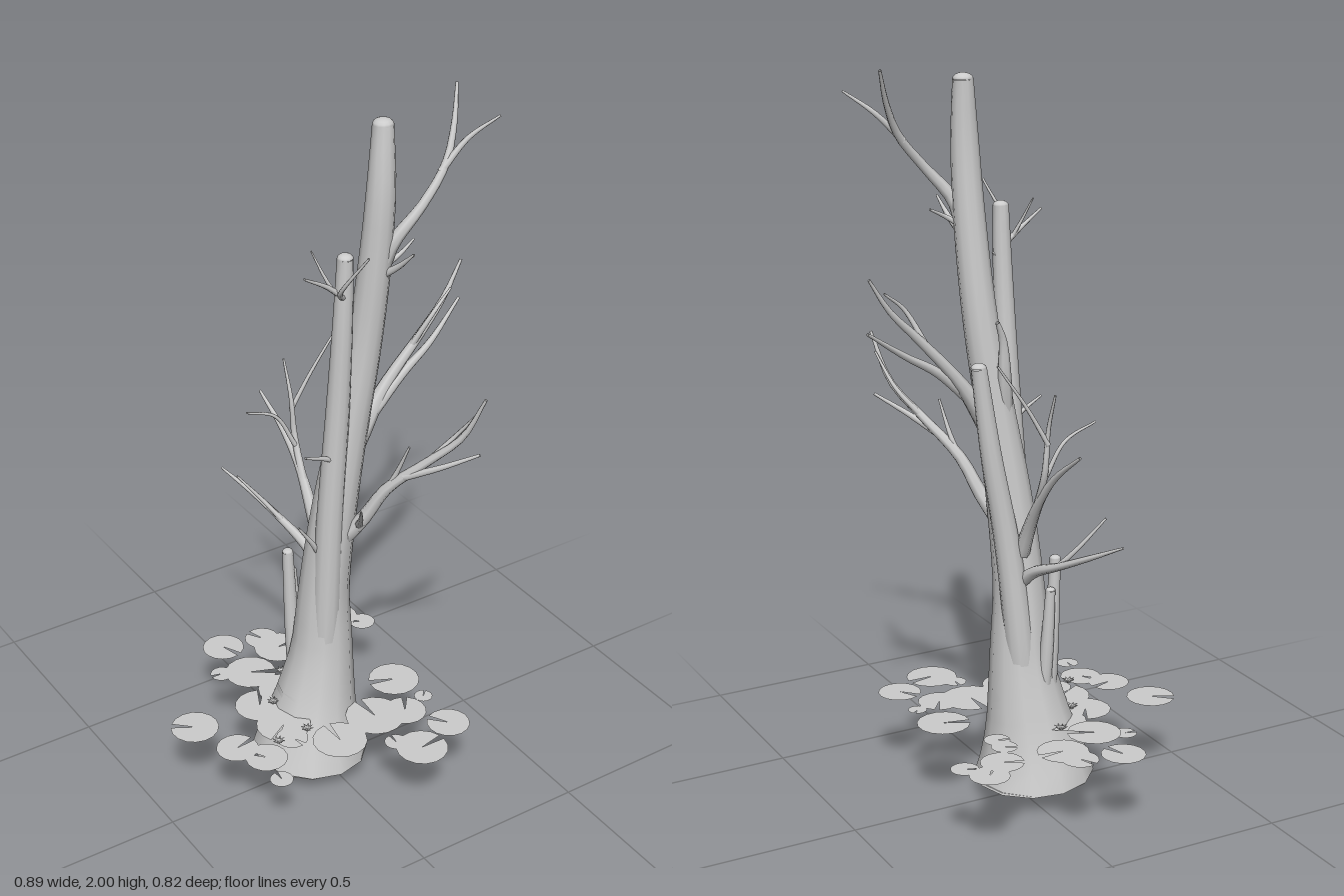
import * as THREE from 'three';
import { mergeVertices, mergeGeometries } from 'three/addons/utils/BufferGeometryUtils.js';

const grey = new THREE.MeshStandardMaterial({ color: 0xcccccc, side: THREE.DoubleSide });
grey.name = 'pale grey';

// Tapered limb through [x, y, z, radius] stations
function limb(stations, sides = 7, segments = 16) {
  const curve = new THREE.CatmullRomCurve3(stations.map(([x, y, z]) => new THREE.Vector3(x, y, z)));
  let geo = new THREE.TubeGeometry(curve, segments, 1, sides);
  const pos = geo.attributes.position, v = new THREE.Vector3();
  for (let i = 0; i <= segments; i++) {
    const u = i / segments, centre = curve.getPointAt(u);
    const t = curve.getUtoTmapping(u) * (stations.length - 1);
    const k = Math.min(Math.floor(t), stations.length - 2);
    const r = THREE.MathUtils.lerp(stations[k][3], stations[k + 1][3], t - k);
    for (let j = 0; j <= sides; j++) {
      const n = i * (sides + 1) + j;
      v.fromBufferAttribute(pos, n).sub(centre).multiplyScalar(r).add(centre);
      pos.setXYZ(n, v.x, v.y, v.z);
    }
  }
  geo.deleteAttribute('uv');
  geo.deleteAttribute('normal');
  geo = mergeVertices(geo);
  geo.computeVertexNormals();
  return geo;
}

export function createModel() {
  const model = new THREE.Group();
  const add = (name, geo, x = 0, y = 0, z = 0) => {
    const mesh = new THREE.Mesh(geo, grey);
    mesh.name = name;
    mesh.position.set(x, y, z);
    model.add(mesh);
    return mesh;
  };

  // Stems: flared main trunk, two companions and two broken stubs
  const stems = {
    mainTrunk: [[-.035, .06, -.02, .165], [-.032, .12, -.02, .147], [-.018, .23, -.018, .116], [0, .4, -.01, .086],
      [.003, .6, -.003, .07], [.022, .85, .015, .062], [.055, 1.1, .032, .052], [.088, 1.35, .052, .046],
      [.104, 1.6, .075, .042], [.11, 1.8, .088, .037], [.116, 1.96, .083, .027]],
    slimTrunk: [[-.02, .12, .01, .04], [-.015, .5, .03, .04], [-.01, .85, .045, .036], [.003, 1.2, .062, .031],
      [.008, 1.45, .075, .026], [.011, 1.63, .08, .021]],
    rearTrunk: [[0, .12, -.05, .04], [.025, .45, -.05, .04], [.06, .75, -.042, .034], [.105, 1, -.04, .028], [.14, 1.24, -.04, .021]],
    tallStub: [[-.05, .2, -.06, .024], [-.057, .45, -.075, .02], [-.065, .7, -.08, .015]],
    shortStub: [[-.025, .2, -.07, .022], [-.035, .45, -.09, .018], [-.04, .62, -.1, .013]],
  };
  for (const [name, s] of Object.entries(stems)) {
    add(name, limb(s, 12, 30));
    const [x, y, z, r] = s.at(-1);
    add(name + 'Tip', new THREE.SphereGeometry(r, 12, 4, 0, Math.PI * 2, 0, Math.PI / 2), x, y, z).scale.y = .6;
  }

  // Hollow underside and central peg
  add('hollowBase', new THREE.LatheGeometry([[.163, .06], [.138, .062], [.115, .16], [.09, .28]]
    .map(([r, y]) => new THREE.Vector2(r, y)), 12), -.033, 0, -.02);
  add('basePeg', new THREE.CylinderGeometry(.028, .028, .3, 12), -.03, .15, -.03);

  // Branches and their forks
  const branches = {
    upperBranch: [
      [[.115, 1.58, .085, .024], [.135, 1.65, .105, .019], [.21, 1.74, .122, .013], [.285, 1.825, .11, .011], [.33, 1.91, .08, .008], [.365, 2, .04, .004]],
      [[.27, 1.81, .112, .01], [.345, 1.885, .12, .007], [.415, 1.94, .155, .003]],
    ],
    sideBranch: [
      [[.055, 1.02, .03, .034], [.1, 1.1, .035, .028], [.17, 1.2, .03, .017], [.28, 1.32, .03, .012], [.36, 1.4, .02, .008], [.42, 1.49, .01, .004]],
      [[.13, 1.14, .04, .017], [.22, 1.22, .035, .013], [.32, 1.28, .02, .009], [.44, 1.36, -.02, .004]],
      [[.035, 1.03, .02, .025], [.05, 1.2, -.01, .019], [.06, 1.3, -.02, .011], [.08, 1.35, -.03, .006]],
      [[.25, 1.29, .03, .009], [.3, 1.39, .06, .006], [.36, 1.44, .05, .003]],
    ],
    frontBranch: [
      [[.04, .79, .05, .024], [.07, .85, .085, .02], [.11, .95, .13, .016], [.18, 1.05, .21, .012], [.24, 1.14, .28, .009], [.27, 1.27, .335, .004]],
      [[.14, 1, .17, .011], [.2, 1.05, .25, .008], [.27, 1.1, .32, .004]],
      [[.18, 1.05, .21, .009], [.24, 1.13, .25, .006], [.27, 1.22, .31, .003]],
      [[.06, .83, .08, .012], [.025, .89, .14, .007], [-.015, .96, .2, .003]],
      [[.1, .92, .12, .01], [.125, 1, .15, .007], [.14, 1.1, .19, .003]],
    ],
    rearBranch: [
      [[.02, .72, -.05, .022], [.02, .8, -.09, .018], [.025, .9, -.16, .012], [.02, .98, -.23, .009], [.01, 1.06, -.335, .004]],
      [[.022, .86, -.13, .012], [.03, .98, -.19, .009], [.025, 1.1, -.2, .006], [.025, 1.2, -.235, .003]],
      [[.025, 1.06, -.2, .007], [.08, 1.16, -.19, .005], [.16, 1.28, -.18, .003]],
      [[.025, .96, -.18, .007], [-.03, 1.06, -.19, .005], [-.12, 1.1, -.19, .003]],
    ],
    lowRearBranch: [
      [[.02, .64, -.05, .019], [.01, .68, -.1, .016], [-.01, .72, -.19, .011], [-.045, .77, -.29, .008], [-.09, .82, -.384, .003]],
      [[-.01, .72, -.19, .008], [-.05, .78, -.23, .006], [-.11, .86, -.265, .003]],
    ],
    twigs: [
      [[.03, 1.5, .08, .01], [-.03, 1.555, .075, .007], [-.115, 1.61, .09, .003]],
      [[-.02, 1.545, .075, .006], [-.04, 1.59, .06, .004], [-.06, 1.65, .035, .002]],
      [[.01, 1.52, .08, .009], [-.03, 1.56, .12, .006], [0, 1.68, .2, .003]],
      [[.115, 1.56, .09, .012], [.13, 1.6, .14, .008], [.14, 1.65, .19, .003]],
      [[.11, 1.58, .09, .01], [.16, 1.61, .1, .006], [.21, 1.635, .09, .003]],
      [[0, 1.04, .06, .009], [-.05, 1.07, .075, .006], [-.115, 1.1, .09, .003]],
      [[-.03, .74, .03, .01], [-.06, .79, .035, .007], [-.105, .855, .04, .003]],
    ],
  };
  for (const [name, parts] of Object.entries(branches)) add(name, mergeGeometries(parts.map((p) => limb(p))));

  // Floating pads: x, z, radius, direction of the notch in the plane
  const pads = [
    [-.12, -.353, .06, -1.2], [-.003, -.328, .05, 2], [.013, -.265, .07, 0], [-.117, -.205, .073, -.5], [-.19, -.245, .032, 3],
    [.25, -.3, .054, 4], [.185, -.247, .059, 2.7], [.29, -.237, .038, 2.6], [.135, -.165, .036, 2.6], [.133, -.12, .036, 2.8],
    [-.377, -.075, .067, 2.5], [-.325, .067, .058, .2], [-.278, .143, .058, 2.2], [-.292, .243, .032, 1.5],
    [-.175, -.06, .07, 1], [-.165, .05, .076, 3.8], [-.08, -.09, .07, 0], [-.175, .11, .045, 5],
    [-.07, .19, .076, 1.5], [.07, .155, .083, 1.6], [.155, .18, .06, 1], [.21, .045, .073, 2.8], [.235, .155, .026, .8],
    [.1, .34, .072, .1], [.055, .28, .032, 1.5], [.225, .29, .06, 2.2],
  ];
  pads.forEach(([x, z, r, notch], i) => {
    const geo = new THREE.CircleGeometry(r, 15, notch + .12, Math.PI * 2 - .24).rotateX(-Math.PI / 2);
    add('lilyPad', geo, x, .23 + (i % 4) * .0006, z);
  });

  // Small blossoms with a ring of pointed petals
  for (const [x, z] of [[-.045, -.153], [-.14, -.045], [-.22, .112], [-.125, .108]]) {
    const parts = [new THREE.SphereGeometry(.007, 8, 5)];
    for (let k = 0; k < 8; k++) {
      parts.push(new THREE.ConeGeometry(.005, .016, 4).translate(0, .012, 0)
        .rotateZ(-1.25).rotateY(k * Math.PI / 4));
    }
    add('blossom', mergeGeometries(parts), x, .239, z);
  }
  return model;
}
